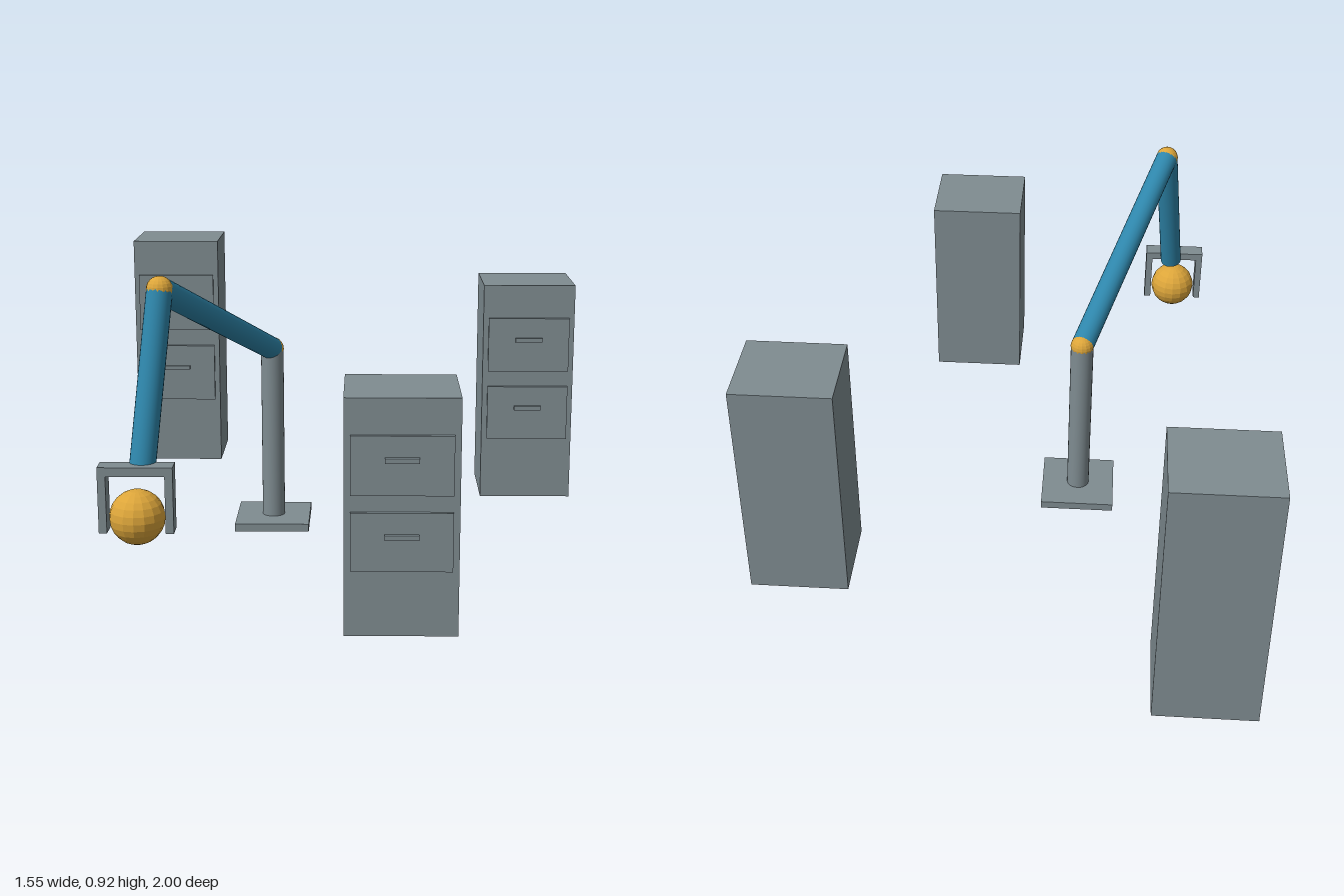
import * as THREE from 'three';

export function createModel() {
  const model = new THREE.Group();
  model.name = 'robotArmWithCabinets';

  const grey = new THREE.MeshStandardMaterial({ color: 0x7f8c91 });
  grey.name = 'steel grey';
  const blue = new THREE.MeshStandardMaterial({ color: 0x2e86ab });
  blue.name = 'arm blue';
  const gold = new THREE.MeshStandardMaterial({ color: 0xdca53a, flatShading: true });
  gold.name = 'joint gold';

  function add(parent, name, geometry, material, x, y, z) {
    const mesh = new THREE.Mesh(geometry, material);
    mesh.name = name;
    mesh.position.set(x, y, z);
    parent.add(mesh);
    return mesh;
  }
  const box = (parent, name, w, h, d, x, y, z) =>
    add(parent, name, new THREE.BoxGeometry(w, h, d), grey, x, y, z);

  // Round bar between two points
  function bar(name, a, b, radius, material) {
    const dir = b.clone().sub(a);
    const mid = a.clone().add(b).multiplyScalar(0.5);
    const geometry = new THREE.CylinderGeometry(radius, radius, dir.length(), 24);
    const mesh = add(model, name, geometry, material, mid.x, mid.y, mid.z);
    mesh.quaternion.setFromUnitVectors(new THREE.Vector3(0, 1, 0), dir.normalize());
  }
  const ball = (name, radius, p) =>
    add(model, name, new THREE.SphereGeometry(radius, 16, 12), gold, p.x, p.y, p.z);

  // Filing cabinets: drawer sizes follow the cabinet height
  const width = 0.305, depth = 0.274;
  function cabinet(name, x, height, backZ) {
    const group = new THREE.Group();
    group.name = name;
    group.position.set(x, 0, backZ + depth / 2);
    box(group, 'cabinetBody', width, height, depth, 0, height / 2, 0);
    for (const level of [0.408, 0.727]) {
      const y = level * height;
      box(group, 'drawerFront', 0.27, height * 0.247, 0.011, 0, y, depth / 2 + 0.0085);
      box(group, 'drawerHandle', 0.09, 0.0135, 0.013, 0, y + height * 0.025, depth / 2 + 0.0195);
    }
    model.add(group);
  }
  cabinet('backRightCabinet', -0.622, 0.82, -1);
  cabinet('leftCabinet', 0.619, 0.735, -0.55);
  cabinet('frontCabinet', 0.167, 0.65, 0.7);

  // Arm stand, links and joints
  const r = 0.036;
  const foot = new THREE.Vector3(-0.228, 0.025, 0);
  const shoulder = new THREE.Vector3(-0.228, 0.575, 0);
  const elbow = new THREE.Vector3(-0.486, 0.884, 0.706);
  const wrist = new THREE.Vector3(-0.53, 0.407, 0.828);
  box(model, 'basePlate', 0.236, 0.025, 0.236, foot.x, 0.0125, 0);
  bar('post', foot, shoulder, r, grey);
  bar('upperArm', shoulder, elbow, r, blue);
  bar('forearm', elbow, wrist, r, blue);
  ball('shoulderJoint', r + 0.001, shoulder);
  ball('elbowJoint', r + 0.001, elbow);

  // Gripper holding a ball
  const grip = new THREE.Vector3(-0.542, 0.289, 0.854);
  box(model, 'gripperBar', 0.202, 0.025, 0.056, grip.x, 0.4215, grip.z);
  for (const side of [-1, 1]) {
    box(model, 'gripperFinger', 0.022, 0.159, 0.056, grip.x + side * 0.09, 0.3295, grip.z);
  }
  ball('heldBall', 0.076, grip);

  return model;
}
